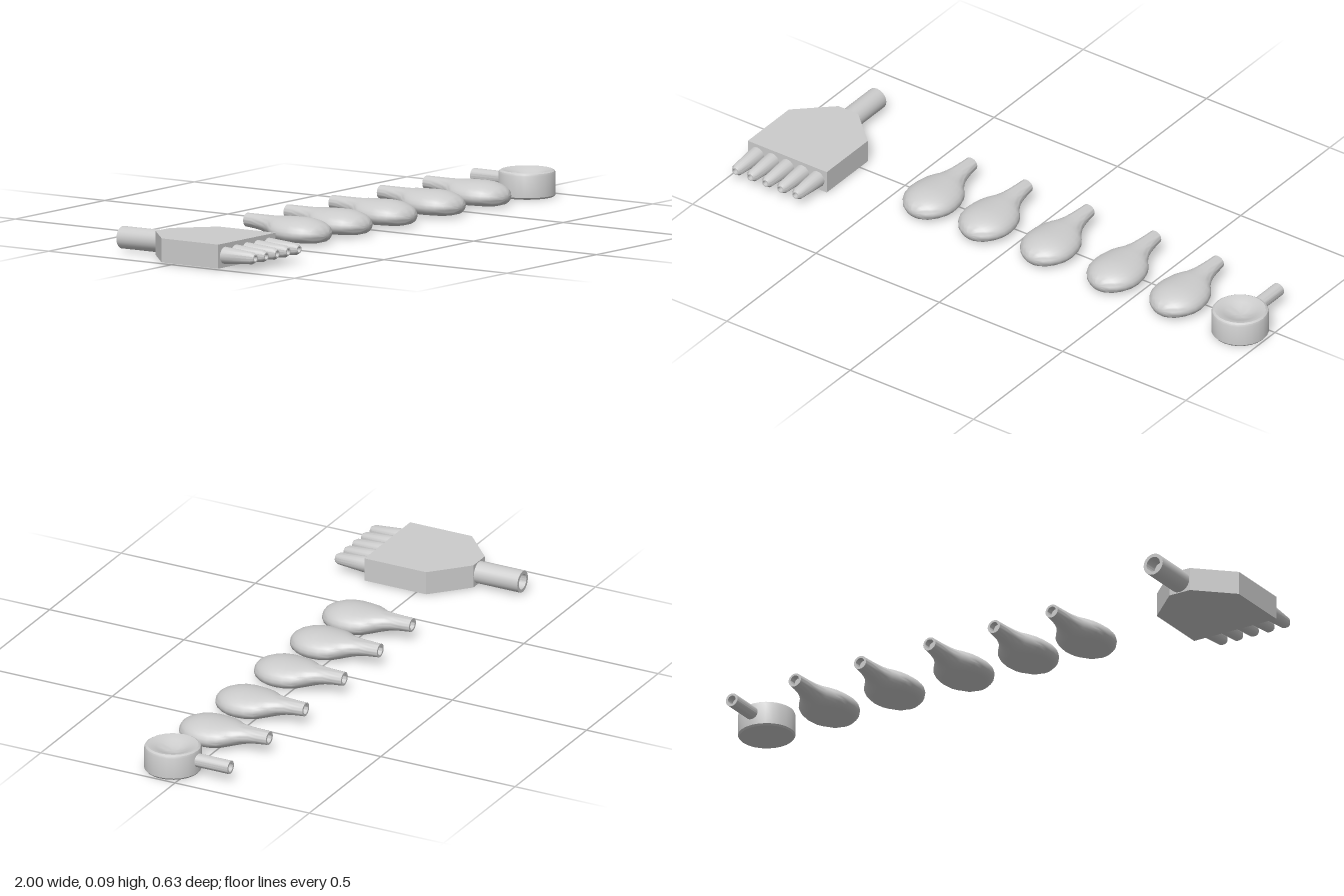
import * as THREE from 'three';
import { toCreasedNormals } from 'three/addons/utils/BufferGeometryUtils.js';

const material = new THREE.MeshStandardMaterial({ color: 0xcccccc });

function part(name, geometry, parent, x = 0, y = 0, z = 0) {
  const mesh = new THREE.Mesh(geometry, material);
  mesh.name = name;
  mesh.position.set(x, y, z);
  parent.add(mesh);
  return mesh;
}

// Turned part from [radius, height] pairs; alongZ lays its axis front to back
function turned(points, segments, alongZ) {
  const g = new THREE.LatheGeometry(points.map(p => new THREE.Vector2(...p)), segments);
  if (alongZ) g.rotateX(Math.PI / 2);
  return toCreasedNormals(g, 0.6);
}

// Tube with a blind bore in its back end
const socket = (radius, bore, back, front, depth) => turned([
  [0, back + depth], [bore, back + depth], [bore, back], [radius, back], [radius, front],
], 20, true);

// Suction cup: sections [z, half width, centre y, height above, depth below],
// with everything under the base plane flattened
function cupGeometry() {
  const sections = [
    [-0.14, 0, 0.057, 0, 0], [-0.14, 0.016, 0.057, 0.016, 0.016],
    [-0.165, 0.016, 0.057, 0.016, 0.016], [-0.165, 0.024, 0.057, 0.023, 0.023],
    [-0.13, 0.028, 0.056, 0.024, 0.025], [-0.1, 0.033, 0.054, 0.026, 0.027],
    [-0.075, 0.04, 0.051, 0.029, 0.031], [-0.05, 0.053, 0.047, 0.033, 0.035],
    [-0.03, 0.069, 0.043, 0.039, 0.037], [-0.01, 0.083, 0.039, 0.044, 0.038],
    [0.02, 0.092, 0.036, 0.048, 0.04], [0.055, 0.095, 0.035, 0.05, 0.04],
    [0.085, 0.091, 0.035, 0.048, 0.039], [0.11, 0.08, 0.035, 0.043, 0.036],
    [0.135, 0.061, 0.035, 0.034, 0.031], [0.15, 0.041, 0.035, 0.024, 0.023],
    [0.159, 0.02, 0.035, 0.012, 0.012], [0.162, 0, 0.035, 0, 0],
  ];
  const n = 28, base = 0.008, pos = [], index = [];
  sections.forEach(([z, w, cy, up, down], i) => {
    for (let j = 0; j < n; j++) {
      const a = j / n * Math.PI * 2, s = Math.sin(a);
      pos.push(w * Math.cos(a), Math.max(base, cy + s * (s > 0 ? up : down)), z);
      if (i === sections.length - 1) continue;
      const p = i * n + j, q = i * n + (j + 1) % n;
      index.push(p, q, q + n, p, q + n, p + n);
    }
  });
  const g = new THREE.BufferGeometry();
  g.setAttribute('position', new THREE.Float32BufferAttribute(pos, 3));
  g.setIndex(index);
  return toCreasedNormals(g, 0.6);
}

export function createModel() {
  const model = new THREE.Group();
  model.name = 'electrodeSet';

  // Flat junction box with tapered shoulders
  const junction = new THREE.Group();
  junction.name = 'junctionBox';
  junction.position.set(-0.84, 0, 0);
  model.add(junction);
  const outline = new THREE.Shape([
    [-0.16, 0.19], [-0.16, -0.04], [-0.04, -0.152], [0.04, -0.152], [0.16, -0.04], [0.16, 0.19],
  ].map(p => new THREE.Vector2(...p)));
  const body = new THREE.ExtrudeGeometry(outline, { depth: 0.08, bevelEnabled: false });
  body.rotateX(Math.PI / 2);
  part('junctionBody', body, junction, 0, 0.086, 0);
  part('cableSocket', socket(0.0375, 0.026, -0.314, -0.145, 0.05), junction, 0, 0.046, 0);

  // Row of five tapered outlets
  const outlet = turned([
    [0.029, 0.185], [0.02, 0.302], [0.013, 0.314], [0.009, 0.314], [0.009, 0.295], [0, 0.295],
  ], 16, true);
  for (let i = -2; i <= 2; i++) part('outlet', outlet, junction, i * 0.061, 0.046, 0);

  // Five suction cups
  const cup = cupGeometry();
  for (const x of [-0.35, -0.125, 0.126, 0.396, 0.65]) part('suctionCup', cup, model, x);

  // Round electrode with a dished top and a side stem
  const electrode = new THREE.Group();
  electrode.name = 'roundElectrode';
  electrode.position.set(0.902, 0, 0);
  model.add(electrode);
  part('electrodeDisc', turned([
    [0, 0.002], [0.09, 0.002], [0.095, 0.008], [0.095, 0.079], [0.092, 0.086], [0.085, 0.09],
    [0.074, 0.088], [0.055, 0.08], [0.035, 0.071], [0.018, 0.066], [0, 0.065],
  ], 24, false), electrode, 0, 0, 0.06);
  part('electrodeStem', socket(0.023, 0.015, -0.155, -0.02, 0.03), electrode, 0, 0.052, 0);

  return model;
}
